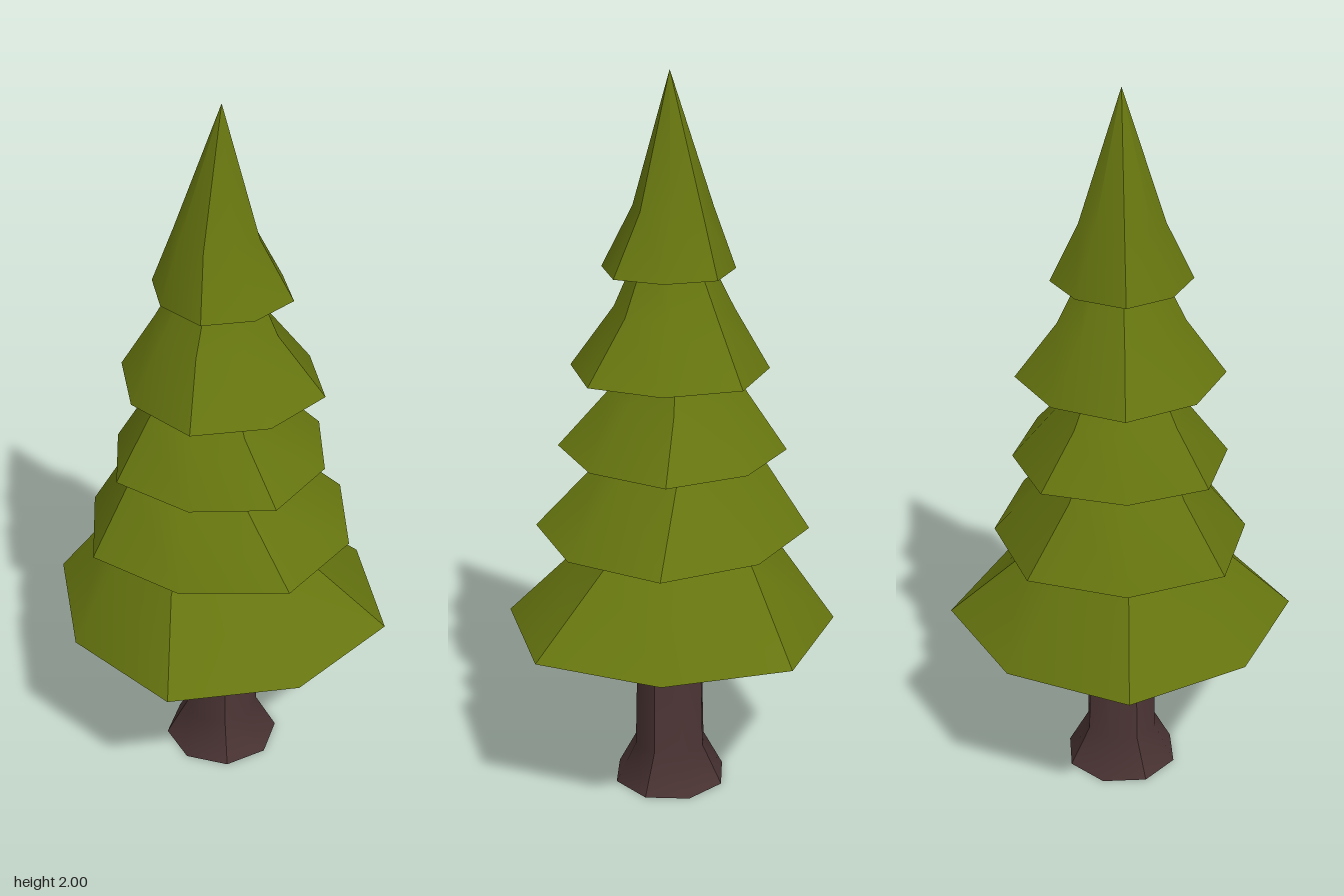
import * as THREE from 'three';

const foliageMat = new THREE.MeshStandardMaterial({ color: 0x66750f });
foliageMat.name = 'olive foliage';
const barkMat = new THREE.MeshStandardMaterial({ color: 0x4a3333 });
barkMat.name = 'dark bark';

// Eight-sided solid from stacked rings { y, scale, x, z }.
// Every second corner, starting at firstCrease, is a sharp edge; the rest are smooth.
function octagonStack(corners, rings, firstCrease) {
  const pos = [], index = [];
  const point = (ring, i) => {
    const [cx, cz] = corners[i % 8];
    pos.push(cx * ring.scale + ring.x, ring.y, cz * ring.scale + ring.z);
  };

  // Four smooth panels, each spanning two sides
  for (let panel = 0; panel < 4; panel++) {
    const start = pos.length / 3;
    for (const ring of rings)
      for (let c = 0; c < 3; c++) point(ring, firstCrease + panel * 2 + c);
    for (let r = 0; r < rings.length - 1; r++) {
      for (let c = 0; c < 2; c++) {
        const low = start + r * 3 + c, up = low + 3;
        index.push(low, up, up + 1, low, up + 1, low + 1);
      }
    }
  }

  // Flat underside
  const base = rings[0], centre = pos.length / 3;
  pos.push(base.x, base.y, base.z);
  for (let i = 0; i < 8; i++) point(base, i);
  for (let i = 0; i < 8; i++) index.push(centre, centre + 1 + i, centre + 1 + (i + 1) % 8);

  const geo = new THREE.BufferGeometry();
  geo.setAttribute('position', new THREE.Float32BufferAttribute(pos, 3));
  geo.setIndex(index);
  geo.computeVertexNormals();
  return geo;
}

// Complete a rim from half its corners by point symmetry
const fullRim = (half) => [...half, ...half.map(([x, z]) => [-x, -z])];

// Each tier: half rim, rings as [y, scale, x, z], first creased corner
const tiers = [
  {
    name: 'lowestBranches', crease: 1,
    rim: [[0.44, 0.09], [0.262, 0.396], [-0.09, 0.44], [-0.398, 0.262]],
    rings: [[0.5, 1, 0, 0], [0.7, 0.59, -0.038, 0.032], [0.8, 0.45, -0.036, 0.03]],
  },
  {
    name: 'lowerBranches', crease: 0,
    rim: [[0.367, 0.065], [0.185, 0.29], [-0.085, 0.37], [-0.305, 0.203]],
    rings: [[0.76, 1, -0.003, 0], [0.95, 0.58, -0.037, 0.03], [1.02, 0.47, -0.037, 0.03]],
  },
  {
    name: 'middleBranches', crease: 0,
    rim: [[0.302, 0.06], [0.163, 0.24], [-0.06, 0.303], [-0.24, 0.163]],
    rings: [[0.99, 1, -0.002, 0], [1.14, 0.61, -0.02, 0.018], [1.26, 0.38, -0.018, 0.016]],
  },
  {
    name: 'upperBranches', crease: 1,
    rim: [[0.259, 0.053], [0.155, 0.233], [-0.055, 0.258], [-0.235, 0.153]],
    rings: [[1.22, 1, 0.004, -0.002], [1.38, 0.6, -0.009, 0.009], [1.54, 0.32, -0.002, 0.004]],
  },
  {
    name: 'treeTop', crease: 1,
    rim: [[0.172, 0.035], [0.104, 0.155], [-0.037, 0.171], [-0.157, 0.105]],
    rings: [[1.49, 1, 0.007, 0], [1.65, 0.6, -0.006, 0.008], [2, 0.002, 0.004, 0]],
  },
];

export function createModel() {
  const tree = new THREE.Group();
  tree.name = 'pineTree';
  const add = (name, corners, rings, crease, material) => {
    const stack = rings.map(([y, scale, x, z]) => ({ y, scale, x, z }));
    const mesh = new THREE.Mesh(octagonStack(corners, stack, crease), material);
    mesh.name = name;
    tree.add(mesh);
  };

  // Trunk with a flared foot
  const trunkCorners = Array.from({ length: 8 }, (_, i) => {
    const a = THREE.MathUtils.degToRad(33.4 + i * 45);
    return [Math.cos(a), Math.sin(a)];
  });
  add('trunk', trunkCorners,
    [[0, 0.16, 0.004, 0], [0.11, 0.102, 0.004, 0], [0.52, 0.092, 0.005, 0]], 0, barkMat);

  // Five stacked tiers of foliage
  for (const t of tiers) add(t.name, fullRim(t.rim), t.rings, t.crease, foliageMat);

  return tree;
}
